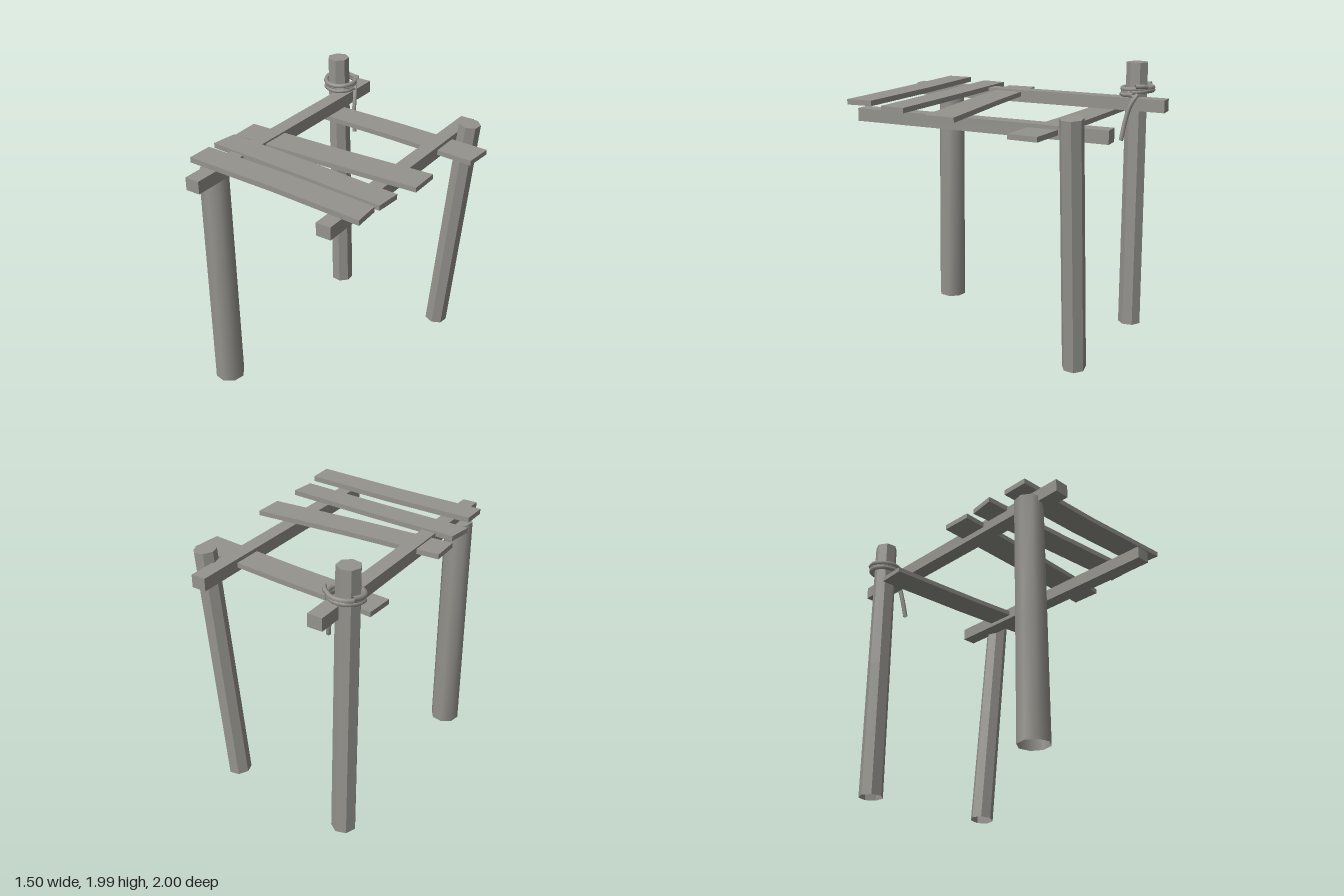
import * as THREE from 'three';
import { toCreasedNormals } from 'three/addons/utils/BufferGeometryUtils.js';

const wood = new THREE.MeshStandardMaterial({ color: 0x94938d, side: THREE.DoubleSide });
wood.name = 'weatheredWood';

function mesh(name, geometry, crease = 0.6) {
  const m = new THREE.Mesh(toCreasedNormals(geometry, crease), wood);
  m.name = name;
  return m;
}

// Log post between two points, hollow underneath and capped on top
function post(name, bottom, top, rBottom, rTop, sides, turn, crease) {
  const a = new THREE.Vector3(...bottom), b = new THREE.Vector3(...top);
  const dir = b.clone().sub(a), length = dir.length();
  const q = new THREE.Quaternion().setFromUnitVectors(new THREE.Vector3(0, 1, 0), dir.normalize());
  const mid = a.clone().add(b).multiplyScalar(0.5);
  const group = new THREE.Group();
  group.name = name;
  const wall = new THREE.CylinderGeometry(rTop, rBottom, length, sides, 2, true);
  const cap = new THREE.CircleGeometry(rTop, sides, Math.PI / 2);
  cap.rotateX(-Math.PI / 2).rotateY(Math.PI);
  cap.translate(0, length / 2, 0);
  for (const [part, g] of [['Wall', wall], ['Top', cap]]) {
    g.rotateY(turn).applyQuaternion(q).translate(mid.x, mid.y, mid.z);
    group.add(mesh(name + part, g, crease));
  }
  return group;
}

// Skewed board: each end is [x at back, z back, x at front, z front, y underneath]
function plank(name, left, right, thickness, bow) {
  const g = new THREE.BoxGeometry(1, 1, 1, 2, 1, 1);
  const p = g.attributes.position;
  for (let i = 0; i < p.count; i++) {
    const u = p.getX(i) + 0.5, v = p.getY(i) + 0.5, front = p.getZ(i) > 0;
    const k = front ? 2 : 0;
    const x = THREE.MathUtils.lerp(left[k], right[k], u);
    const z = THREE.MathUtils.lerp(left[k + 1], right[k + 1], u) + bow * 4 * u * (1 - u);
    const y = THREE.MathUtils.lerp(left[4], right[4], u) + v * thickness;
    p.setXYZ(i, x, y, z);
  }
  return mesh(name, g, 0.3);
}

// Squared rail running front to back
function rail(name, x, width, zBack, zFront, yBack, yFront, height) {
  const g = new THREE.BoxGeometry(width, height, zFront - zBack);
  const p = g.attributes.position;
  for (let i = 0; i < p.count; i++) {
    p.setX(i, p.getX(i) + x);
    p.setY(i, p.getY(i) + height / 2 + (p.getZ(i) > 0 ? yFront : yBack));
    p.setZ(i, p.getZ(i) + (zFront + zBack) / 2);
  }
  return mesh(name, g, 0.3);
}

function rope(name, points, steps, radius) {
  const curve = new THREE.CatmullRomCurve3(points.map(p => new THREE.Vector3(...p)));
  return mesh(name, new THREE.TubeGeometry(curve, steps, radius, 6, false), 1.1);
}

export function createModel() {
  const model = new THREE.Group();
  model.name = 'brokenPlatform';

  // Three posts: stout front, tall back, leaning back
  model.add(
    post('frontPost', [-0.572, 0, 0.762], [-0.578, 1.7, 0.745], 0.106, 0.1, 8, 0.2, 0.85),
    post('tallBackPost', [-0.597, 0, -0.768], [-0.612, 1.985, -0.755], 0.086, 0.08, 7, 0.3, 0.6),
    post('leaningBackPost', [0.37, 0.01, -0.685], [0.54, 1.755, -0.7], 0.084, 0.08, 7, 0.1, 0.6)
  );

  // Side rails
  model.add(
    rail('longRail', -0.535, 0.106, -1, 1, 1.65, 1.66, 0.09),
    rail('shortRail', 0.415, 0.106, -0.92, 0.92, 1.595, 1.605, 0.09)
  );

  // Crosswise planks, back to front
  model.add(
    plank('backPlank', [-0.7, -0.65, -0.71, -0.45, 1.615], [0.75, -0.56, 0.735, -0.35, 1.63], 0.035, -0.01),
    plank('middlePlank', [-0.75, 0.11, -0.745, 0.32, 1.7], [0.67, 0.055, 0.67, 0.27, 1.69], 0.035, 0.01),
    plank('nextPlank', [-0.72, 0.36, -0.745, 0.54, 1.725], [0.64, 0.45, 0.625, 0.63, 1.718], 0.036, -0.005),
    plank('frontPlank', [-0.7, 0.64, -0.7, 0.825, 1.75], [0.635, 0.7, 0.645, 0.885, 1.748], 0.037, -0.012)
  );

  // Rope wound round the tall post, with a loose tail
  const coil = [];
  const turns = 2.6, perTurn = 10;
  for (let i = 0; i <= turns * perTurn; i++) {
    const t = i / (turns * perTurn), a = t * turns * Math.PI * 2;
    const r = 0.118 - 0.012 * Math.sin(t * Math.PI);
    coil.push([-0.597 + r * Math.cos(a), 1.765 + 0.05 * t - 0.012 * Math.sin(a), -0.768 + r * Math.sin(a)]);
  }
  model.add(
    rope('ropeCoil', coil, 52, 0.017),
    rope('ropeTail', [[-0.49, 1.77, -0.8], [-0.465, 1.7, -0.76], [-0.455, 1.6, -0.73], [-0.433, 1.44, -0.705]], 8, 0.017),
    rope('ropeEnd', [[-0.55, 1.81, -0.86], [-0.5, 1.825, -0.84], [-0.465, 1.825, -0.79]], 4, 0.016)
  );
  return model;
}
